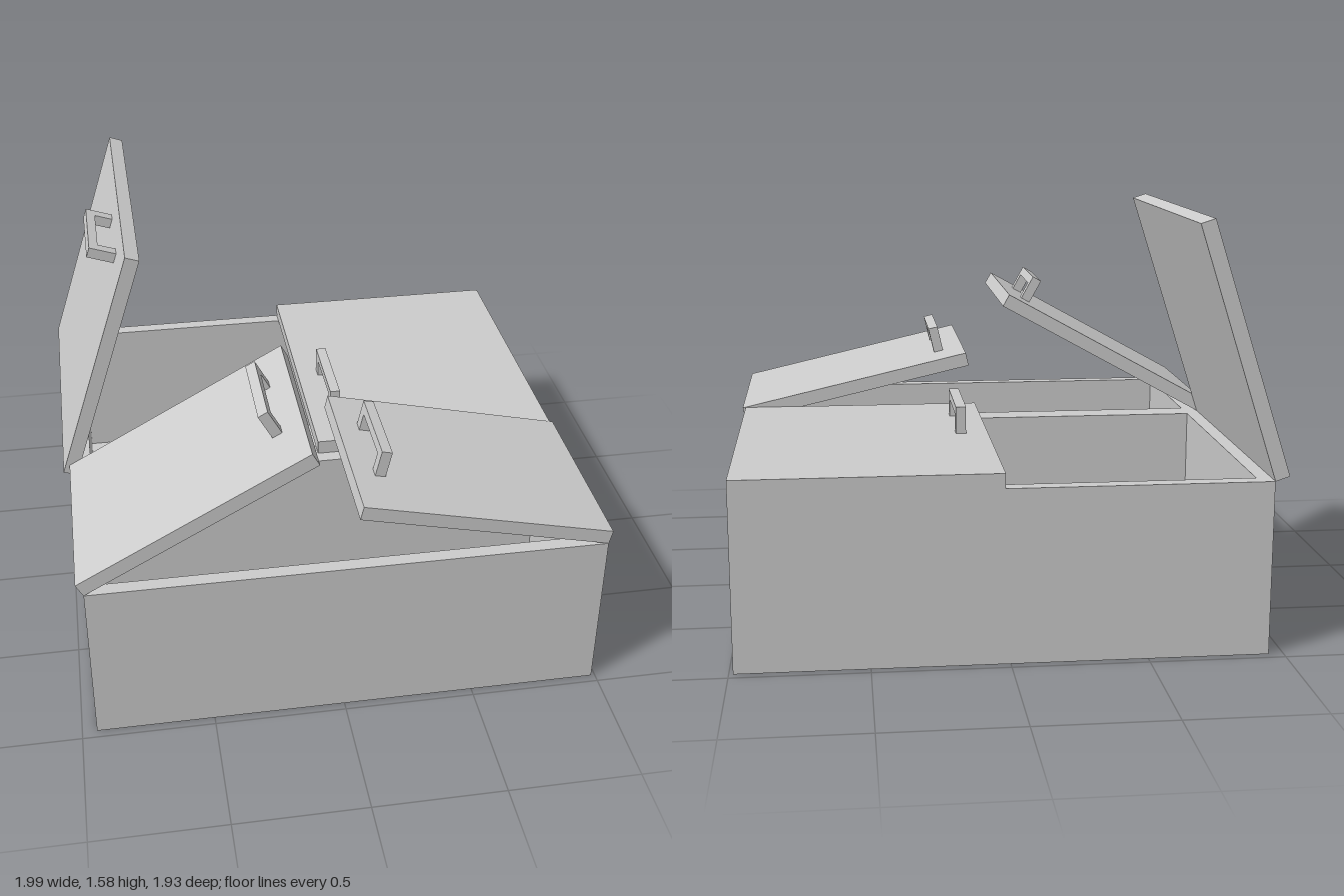
import * as THREE from 'three';

const material = new THREE.MeshStandardMaterial({ color: 0xcccccc, flatShading: true });
const WALL = 0.055, HEIGHT = 0.65;
const LEFT = 0.985, RIGHT = -0.945;           // outer faces and hinge lines in x
const BACK = -0.967, SPLIT = 0.21, FRONT = 0.967;
const LID_LENGTH = 0.965;

function mesh(name, geometry, x = 0, y = 0, z = 0) {
  const m = new THREE.Mesh(geometry, material);
  m.name = name;
  m.position.set(x, y, z);
  return m;
}

function rect(Type, x0, z0, x1, z1) {
  const pts = [[x0, z0], [x1, z0], [x1, z1], [x0, z1]];
  return new Type(pts.map(([x, z]) => new THREE.Vector2(x, z)));
}

// Open box with two compartments and a divider between them
function createBody() {
  const body = new THREE.Group();
  body.name = 'body';
  const plan = rect(THREE.Shape, RIGHT, BACK, LEFT, FRONT);
  for (const [z0, z1] of [[BACK, SPLIT], [SPLIT, FRONT]]) {
    plan.holes.push(rect(THREE.Path, RIGHT + WALL, z0 + WALL, LEFT - WALL, z1 - WALL));
  }
  const walls = new THREE.ExtrudeGeometry(plan, { depth: HEIGHT - WALL, bevelEnabled: false });
  walls.rotateX(Math.PI / 2);
  body.add(mesh('walls', walls, 0, HEIGHT, 0));
  const floor = new THREE.BoxGeometry(LEFT - RIGHT, WALL, FRONT - BACK);
  body.add(mesh('floor', floor, (LEFT + RIGHT) / 2, WALL / 2, (FRONT + BACK) / 2));
  return body;
}

// U-shaped pull handle: a bracket profile extruded to its thickness
function createHandle() {
  const w = 0.178, h = 0.105, leg = 0.045, bar = 0.035;
  const profile = new THREE.Shape([
    [-w, 0], [-w + leg, 0], [-w + leg, h - bar], [w - leg, h - bar],
    [w - leg, 0], [w, 0], [w, h], [-w, h],
  ].map(([x, y]) => new THREE.Vector2(x, y)));
  const geometry = new THREE.ExtrudeGeometry(profile, { depth: 0.04, bevelEnabled: false });
  geometry.translate(0, 0, -0.02);
  geometry.rotateY(Math.PI / 2);
  return mesh('handle', geometry);
}

// Lid swinging about its lower outer edge; local +x runs away from the hinge
function createLid(name, hingeX, z0, z1, handleZ, degrees) {
  const lid = new THREE.Group();
  lid.name = name;
  const side = hingeX > 0 ? -1 : 1;
  const midZ = (z0 + z1) / 2;
  const panel = new THREE.BoxGeometry(LID_LENGTH, WALL, z1 - z0);
  lid.add(mesh('panel', panel, LID_LENGTH / 2, WALL / 2, 0));
  const handle = createHandle();
  handle.position.set(0.86, WALL, side * (handleZ - midZ));
  lid.add(handle);
  lid.position.set(hingeX, HEIGHT, midZ);
  lid.rotation.set(0, side < 0 ? Math.PI : 0, THREE.MathUtils.degToRad(degrees));
  return lid;
}

export function createModel() {
  const model = new THREE.Group();
  model.name = 'fourLidBox';
  model.add(createBody());
  model.add(createLid('backLeftLid', LEFT, BACK, SPLIT, -0.172, 0));
  model.add(createLid('backRightLid', RIGHT, BACK, SPLIT, -0.172, 72));
  model.add(createLid('frontLeftLid', LEFT, SPLIT, FRONT, 0.577, 13));
  model.add(createLid('frontRightLid', RIGHT, SPLIT, FRONT, 0.577, 29));
  return model;
}
